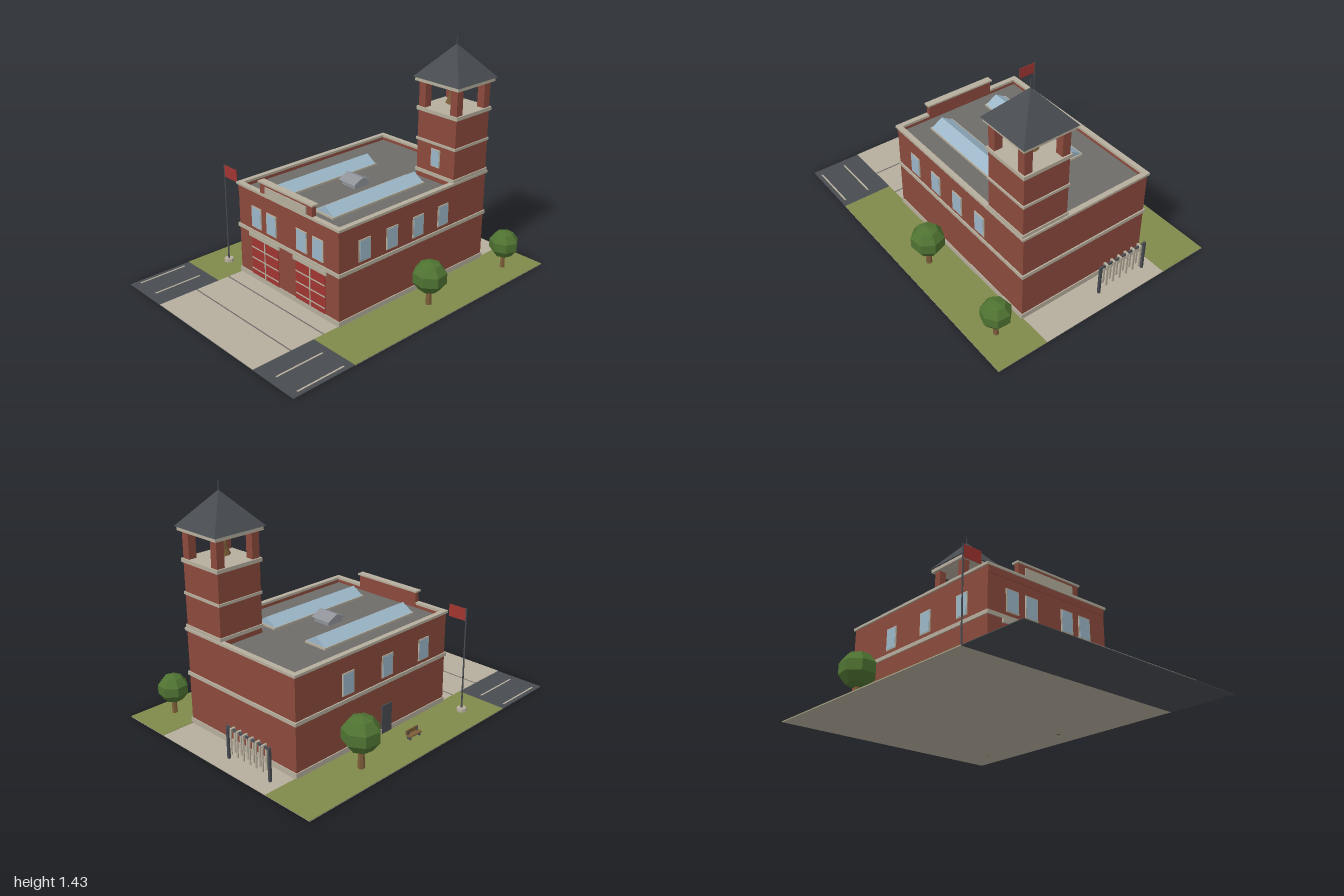
import * as THREE from 'three';

const COLORS = {
  brick: 0x8b4a3c, concrete: 0xb5ad9c, red: 0xa03530, glass: 0x9bb6c8, roofGrey: 0x6e6c69,
  slate: 0x484c51, grass: 0x7f8a4b, leaf: 0x4f7332, wood: 0x7c5c38, metal: 0x8e9299,
};

export function createModel() {
  const root = new THREE.Group();
  root.name = 'fireStation';
  const mats = {};
  for (const [name, color] of Object.entries(COLORS)) {
    mats[name] = new THREE.MeshStandardMaterial({ color });
    mats[name].name = name;
  }

  // Helpers
  const add = (parent, name, mat, geo, x = 0, y = 0, z = 0) => {
    const mesh = new THREE.Mesh(geo, mats[mat]);
    mesh.name = name;
    mesh.position.set(x, y, z);
    parent.add(mesh);
    return mesh;
  };
  const group = (name, x = 0, y = 0, z = 0, parent = root) => {
    const g = new THREE.Group();
    g.name = name;
    g.position.set(x, y, z);
    parent.add(g);
    return g;
  };
  const box = (parent, name, mat, x0, x1, y0, y1, z0, z1) => add(parent, name, mat,
    new THREE.BoxGeometry(x1 - x0, y1 - y0, z1 - z0), (x0 + x1) / 2, (y0 + y1) / 2, (z0 + z1) / 2);
  const flat = (geo) => {
    const g = geo.toNonIndexed();
    g.computeVertexNormals();
    return g;
  };
  // Rectangular frame lying flat, base at y = 0
  const ring = (w, d, t, h) => {
    const rect = (a, b) => [[-a, -b], [a, -b], [a, b], [-a, b]].map(([x, y]) => new THREE.Vector2(x, y));
    const s = new THREE.Shape(rect(w / 2, d / 2));
    s.holes.push(new THREE.Path(rect(w / 2 - t, d / 2 - t).reverse()));
    return new THREE.ExtrudeGeometry(s, { depth: h, bevelEnabled: false }).rotateX(-Math.PI / 2);
  };
  // Gable prism with its ridge along z
  const prism = (w, h, len) => {
    const s = new THREE.Shape([new THREE.Vector2(-w / 2, 0), new THREE.Vector2(w / 2, 0), new THREE.Vector2(0, h)]);
    return new THREE.ExtrudeGeometry(s, { depth: len, bevelEnabled: false }).translate(0, 0, -len / 2);
  };
  const windowAt = (parent, x, y, z, turn = 0, w = 0.088, h = 0.132) => {
    const g = group('window', x, y, z, parent);
    g.rotation.y = turn;
    box(g, 'windowFrame', 'concrete', -w / 2, w / 2, -h / 2, h / 2, -0.002, 0.006);
    box(g, 'windowGlass', 'glass', -w / 2 + 0.006, w / 2 - 0.006, -h / 2 + 0.006, h / 2 - 0.006, 0, 0.008);
  };

  // Ground: slabs, lawns, driveway joints and parking stripes
  const ground = group('ground');
  box(ground, 'baseSlab', 'concrete', -0.75, 0.75, 0, 0.004, -1, 0.59);
  box(ground, 'road', 'slate', -0.75, 0.75, 0, 0.004, 0.59, 1);
  box(ground, 'apron', 'concrete', -0.43, 0.43, 0.003, 0.006, 0.4, 1);
  for (const z of [0.52, 0.75]) box(ground, 'apronJoint', 'roofGrey', -0.43, 0.43, 0.005, 0.007, z - 0.004, z + 0.004);
  for (const s of [-1, 1]) {
    box(ground, 'lawn', 'grass', s * 0.59 - 0.16, s * 0.59 + 0.16, 0.003, 0.006, -1, 0.59);
    for (const x of [0.557, 0.72]) {
      box(ground, 'parkingStripe', 'concrete', s * x - 0.005, s * x + 0.005, 0.003, 0.006, 0.64, 0.95);
    }
  }

  // Main hall
  const hall = group('hall');
  const cz = -0.19;
  box(hall, 'walls', 'brick', -0.435, 0.435, 0.004, 0.555, -0.79, 0.41);
  box(hall, 'roofDeck', 'roofGrey', -0.415, 0.415, 0.55, 0.56, -0.77, 0.39);
  add(hall, 'plinth', 'concrete', ring(0.882, 1.212, 0.03, 0.033), 0, 0.004, cz);
  add(hall, 'beltCourse', 'concrete', ring(0.886, 1.216, 0.03, 0.022), 0, 0.308, cz);
  add(hall, 'parapet', 'brick', ring(0.87, 1.2, 0.02, 0.03), 0, 0.553, cz);
  add(hall, 'cornice', 'concrete', ring(0.89, 1.22, 0.032, 0.015), 0, 0.58, cz);
  box(hall, 'frontBrickBand', 'brick', -0.435, 0.435, 0.54, 0.58, 0.405, 0.414);

  // Raised front parapet with blank panel
  box(hall, 'pediment', 'brick', -0.225, 0.225, 0.57, 0.66, 0.385, 0.414);
  box(hall, 'pedimentCap', 'concrete', -0.235, 0.235, 0.658, 0.668, 0.377, 0.422);
  box(hall, 'pedimentPanel', 'concrete', -0.178, 0.178, 0.594, 0.643, 0.41, 0.419);

  // Engine doors
  for (const x of [-0.2, 0.2]) {
    const door = group('engineDoor', x, 0, 0.41, hall);
    box(door, 'doorPanel', 'red', -0.123, 0.123, 0.037, 0.285, -0.005, 0.004);
    box(door, 'doorLintel', 'concrete', -0.138, 0.138, 0.284, 0.31, -0.005, 0.012);
    box(door, 'doorMullion', 'concrete', -0.004, 0.004, 0.037, 0.285, 0, 0.007);
    for (const y of [0.073, 0.145, 0.215]) {
      box(door, 'doorRail', 'concrete', -0.123, 0.123, y - 0.004, y + 0.004, 0, 0.006);
    }
  }

  // Windows and side door
  for (const x of [-0.268, -0.132, 0.132, 0.268]) windowAt(hall, x, 0.418, 0.41);
  for (const z of [0.225, 0.013, -0.199, -0.411]) windowAt(hall, 0.435, 0.418, z, Math.PI / 2);
  for (const z of [0.21, -0.1, -0.41]) windowAt(hall, -0.435, 0.418, z, -Math.PI / 2);
  box(hall, 'sideDoor', 'slate', -0.442, -0.43, 0.006, 0.18, -0.14, -0.06);

  // Skylights and roof vent
  for (const x of [-0.204, 0.196]) {
    box(hall, 'skylightCurb', 'concrete', x - 0.077, x + 0.077, 0.555, 0.572, -0.425, 0.305);
    add(hall, 'skylight', 'glass', prism(0.148, 0.046, 0.715), x, 0.571, -0.06);
  }
  box(hall, 'ventBody', 'metal', -0.055, 0.055, 0.555, 0.592, -0.175, -0.065);
  add(hall, 'ventRoof', 'metal', prism(0.14, 0.032, 0.135), -0.003, 0.59, -0.12).rotation.y = Math.PI / 2;

  // Bell tower
  const tower = group('tower', 0.29, 0, -0.64);
  const square = (name, mat, half, y0, y1) => box(tower, name, mat, -half, half, y0, y1, -half, half);
  square('towerShaft', 'brick', 0.1455, 0.5, 0.985);
  square('towerBaseBand', 'concrete', 0.152, 0.592, 0.614);
  square('towerMiddleBand', 'concrete', 0.152, 0.792, 0.808);
  square('belfryFloor', 'concrete', 0.155, 0.978, 1.0);
  square('belfryLintel', 'concrete', 0.164, 1.155, 1.18);
  for (const x of [-1, 1]) for (const z of [-1, 1]) {
    box(tower, 'belfryPost', 'brick', x * 0.12 - 0.025, x * 0.12 + 0.025, 0.99, 1.16, z * 0.12 - 0.025, z * 0.12 + 0.025);
  }
  const spire = new THREE.ConeGeometry(0.174 * Math.SQRT2, 0.198, 4).rotateY(Math.PI / 4);
  add(tower, 'towerRoof', 'slate', flat(spire), 0, 1.277, 0);
  add(tower, 'finial', 'slate', new THREE.CylinderGeometry(0.003, 0.003, 0.07, 6), 0, 1.391, 0);
  windowAt(tower, 0.002, 0.71, 0.1455, 0, 0.068, 0.112);

  // Bell
  const bellProfile = [[0, 1.112], [0.022, 1.11], [0.032, 1.09], [0.038, 1.055], [0.052, 1.022], [0, 1.022]]
    .reverse().map(([r, y]) => new THREE.Vector2(r, y));
  add(tower, 'bell', 'wood', flat(new THREE.LatheGeometry(bellProfile, 10)));
  add(tower, 'bellHanger', 'slate', new THREE.CylinderGeometry(0.004, 0.004, 0.05, 6), 0, 1.133, 0);

  // Trees: x, z, crown radius, crown height, turn
  const trees = [[-0.6, -0.48, 0.113, 0.21, 0.3], [0.6, -0.13, 0.104, 0.184, 1.0], [0.61, -0.79, 0.092, 0.165, 0.6]];
  for (const [x, z, r, y, turn] of trees) {
    const tree = group('tree', x, 0, z);
    tree.rotation.y = turn;
    add(tree, 'trunk', 'wood', flat(new THREE.CylinderGeometry(r * 0.13, r * 0.18, y - 0.04, 6)), 0, (y - 0.04) / 2, 0);
    add(tree, 'crown', 'leaf', flat(new THREE.SphereGeometry(r, 7, 5).scale(1, 0.94, 1)), 0, y, 0);
  }

  // Flagpole
  const flagpole = group('flagpole', -0.59, 0, 0.397);
  add(flagpole, 'poleBase', 'concrete', flat(new THREE.CylinderGeometry(0.028, 0.03, 0.024, 8)), 0, 0.014, 0);
  add(flagpole, 'pole', 'slate', new THREE.CylinderGeometry(0.004, 0.005, 0.635, 8), 0, 0.337, 0);
  box(flagpole, 'flag', 'red', 0.004, 0.12, 0.576, 0.65, -0.002, 0.002);

  // Bench
  const bench = group('bench', -0.59, 0, -0.04);
  box(bench, 'benchSeat', 'wood', -0.018, 0.016, 0.025, 0.031, -0.05, 0.05);
  box(bench, 'benchBack', 'wood', 0.012, 0.018, 0.034, 0.057, -0.05, 0.05);
  for (const z of [-0.038, 0.038]) {
    box(bench, 'benchLeg', 'slate', -0.014, 0.014, 0.005, 0.026, z - 0.004, z + 0.004);
    box(bench, 'benchBackPost', 'slate', 0.008, 0.013, 0.025, 0.05, z - 0.004, z + 0.004);
  }

  // Hose drying rack
  const rack = group('hoseRack', -0.19, 0, -0.9);
  for (const x of [-0.165, 0.165]) box(rack, 'rackPost', 'slate', x - 0.007, x + 0.007, 0.004, 0.2, -0.007, 0.007);
  box(rack, 'rackBar', 'slate', -0.172, 0.172, 0.186, 0.198, -0.005, 0.005);
  for (let i = 0; i < 6; i++) {
    const x = -0.125 + i * 0.05;
    for (const z of [-0.013, 0.013]) box(rack, 'hangingHose', 'concrete', x - 0.006, x + 0.006, 0.05, 0.185, z - 0.003, z + 0.003);
    box(rack, 'hoseFold', 'concrete', x - 0.006, x + 0.006, 0.182, 0.203, -0.016, 0.016);
  }
  return root;
}
